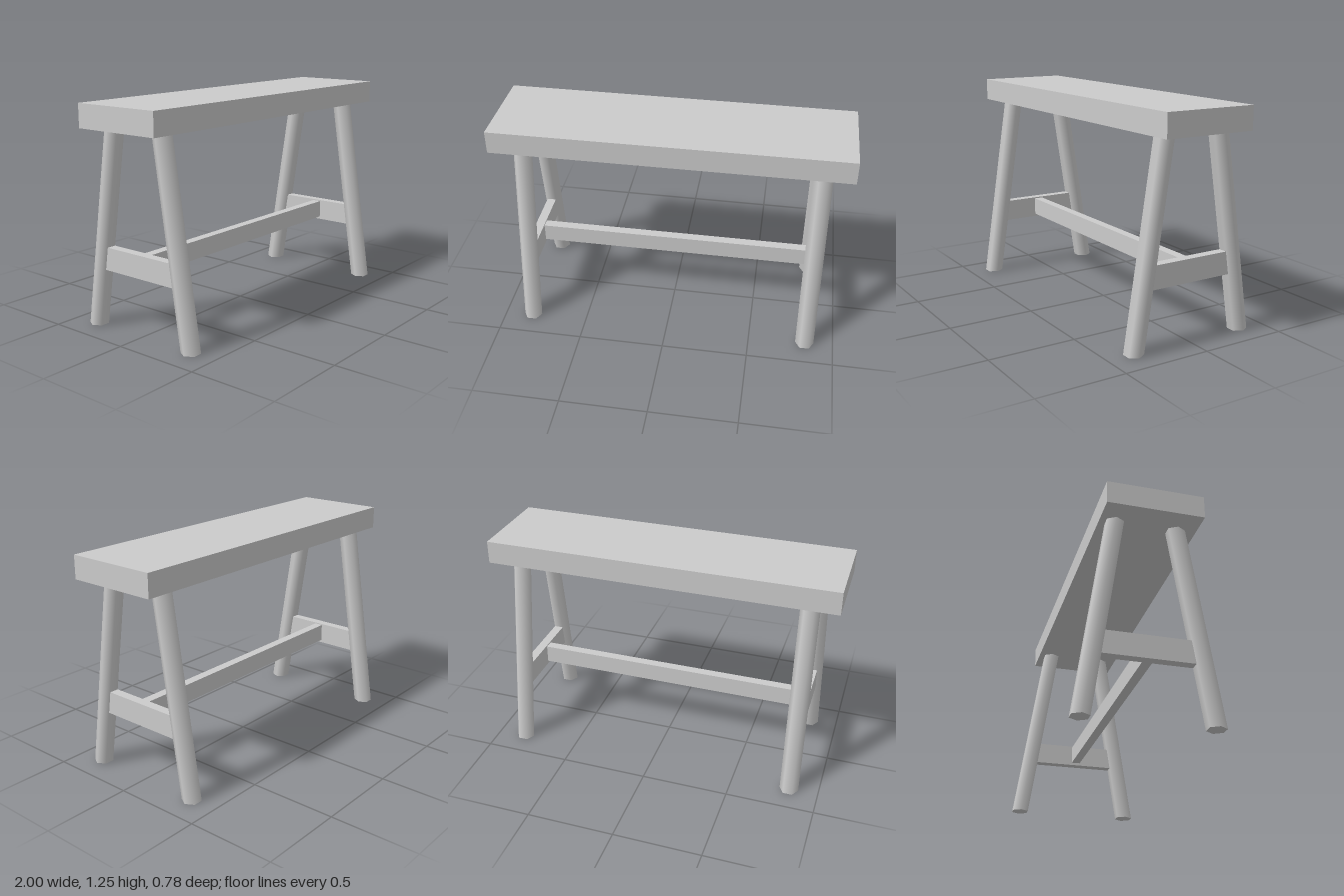
import * as THREE from 'three';

const material = new THREE.MeshStandardMaterial({ color: 0xcccccc });

function addBox(group, name, size, position) {
  const mesh = new THREE.Mesh(new THREE.BoxGeometry(...size), material);
  mesh.name = name;
  mesh.position.set(...position);
  group.add(mesh);
}

export function createModel() {
  const bench = new THREE.Group();
  bench.name = 'bench';

  const legX = 0.833, legHeight = 1.125, footZ = 0.344, topZ = 0.17;
  const seatZ = 0.0125, railThickness = 0.053;

  // Seat plank, set slightly towards the front
  addBox(bench, 'seat', [2, 0.13, 0.532], [0, legHeight + 0.065, seatZ]);

  // Six-sided legs, sheared so that the feet and tops stay level
  const lean = (topZ - footZ) / legHeight;
  for (const sx of [-1, 1]) {
    for (const sz of [-1, 1]) {
      const geometry = new THREE.CylinderGeometry(0.054, 0.054, legHeight, 6, 1, false, Math.PI / 2);
      geometry.translate(0, legHeight / 2, 0);
      geometry.applyMatrix4(new THREE.Matrix4().set(
        1, 0, 0, 0,
        0, 1, 0, 0,
        0, sz * lean, 1, 0,
        0, 0, 0, 1));
      const leg = new THREE.Mesh(geometry, material);
      leg.name = (sz > 0 ? 'front' : 'back') + (sx > 0 ? 'LeftLeg' : 'RightLeg');
      leg.position.set(sx * legX, 0, sz * footZ);
      bench.add(leg);
    }
    // Rail joining the two legs at this end
    addBox(bench, sx > 0 ? 'leftEndRail' : 'rightEndRail',
      [railThickness, 0.129, 0.5], [sx * legX, 0.3985, 0]);
  }

  // Long stretcher between the end rails
  addBox(bench, 'stretcher', [2 * legX - railThickness, 0.106, railThickness], [0, 0.403, seatZ]);

  return bench;
}
